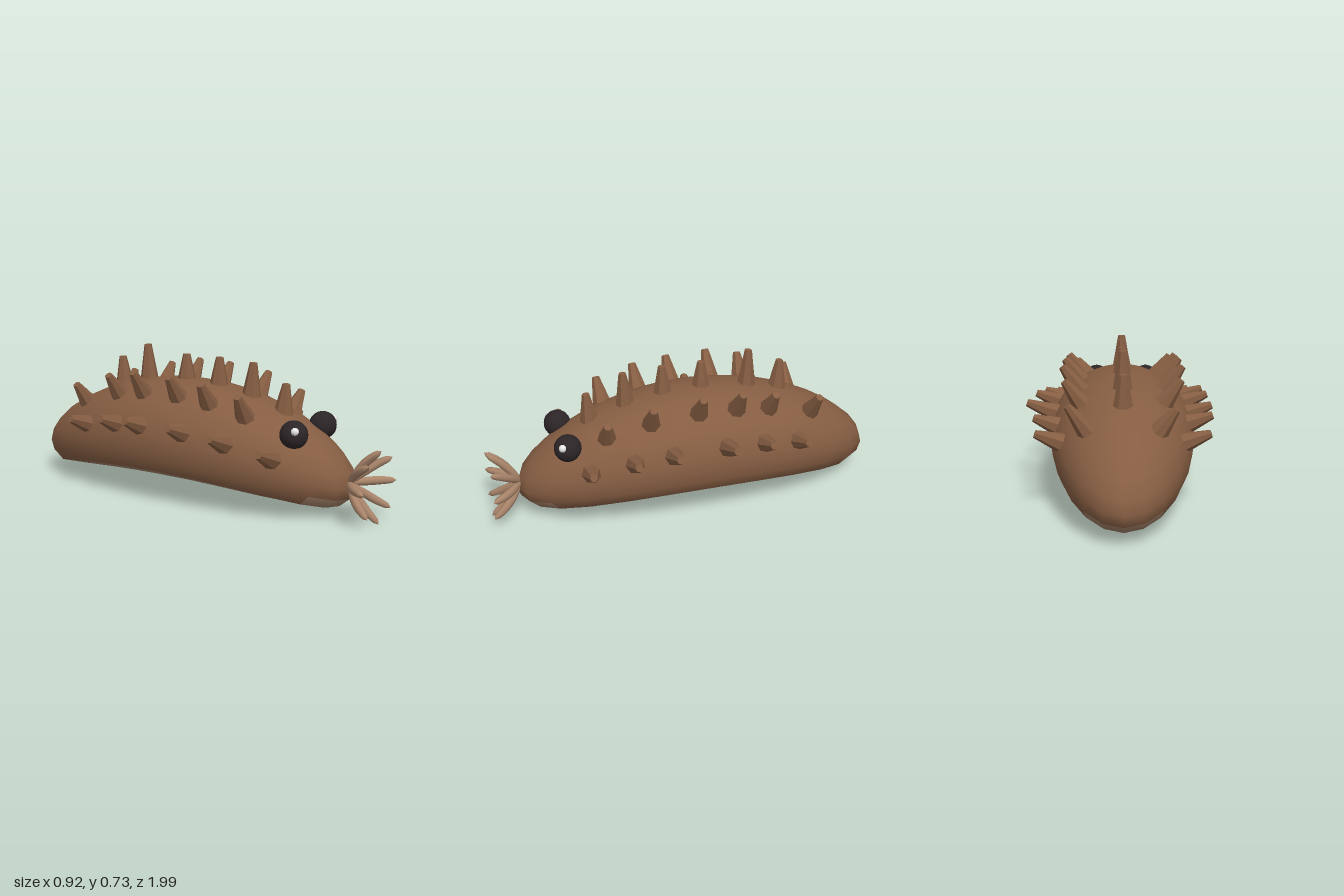
import * as THREE from 'three';
import { mergeVertices } from 'three/addons/utils/BufferGeometryUtils.js';

const mat = (name, color) => {
  const m = new THREE.MeshStandardMaterial({ color });
  m.name = name;
  return m;
};

// Body ellipsoid: centre, radii, and how far the ends droop
const CX = -0.015, CY = 0.29, CZ = -0.07;
const RX = 0.355, RY = 0.3, RZ = 0.93, DROOP = 0.13;
const centreY = (f) => CY - DROOP * f * f;

function bodyGeometry() {
  let g = new THREE.SphereGeometry(1, 24, 16);
  g.deleteAttribute('uv');
  g.deleteAttribute('normal');
  g = mergeVertices(g, 1e-4);
  const p = g.attributes.position;

  // Sort the faces into skin and sole
  const skin = [], sole = [], idx = g.index.array, c = new THREE.Vector3(), v = new THREE.Vector3();
  for (let i = 0; i < idx.length; i += 3) {
    const tri = [idx[i], idx[i + 1], idx[i + 2]];
    c.set(0, 0, 0);
    tri.forEach((k) => c.add(v.fromBufferAttribute(p, k)));
    c.divideScalar(3);
    const atEnd = Math.atan2(Math.abs(c.x), Math.abs(c.z)) < Math.PI / 6;
    const limit = -Math.sin(Math.PI / (atEnd ? 16 : 8));
    (c.y < limit ? sole : skin).push(...tri);
  }
  g.setIndex([...skin, ...sole]);
  g.addGroup(0, skin.length, 0);
  g.addGroup(skin.length, sole.length, 1);

  // Stretch, flatten the underside and droop both ends
  for (let i = 0; i < p.count; i++) {
    v.fromBufferAttribute(p, i);
    let y = v.y * RY;
    if (y < -0.115) y = -0.115 + (y + 0.115) * 0.36;
    p.setXYZ(i, CX + v.x * RX, centreY(v.z) + y, CZ + v.z * RZ);
  }
  g.computeVertexNormals();
  return g;
}

// Blunt faceted spike standing on the body at the given angle round the section
function makeSpike(name, material, degrees, z, length) {
  const a = THREE.MathUtils.degToRad(degrees);
  const f = (z - CZ) / RZ, s = Math.sqrt(1 - f * f);
  const sunk = 0.02, h = length + sunk;
  const g = new THREE.CylinderGeometry(0.019, 0.05, h, 7).toNonIndexed();
  g.translate(0, h / 2 - sunk, 0);
  g.computeVertexNormals();
  const m = new THREE.Mesh(g, material);
  m.name = name;
  m.position.set(CX + RX * s * Math.cos(a), centreY(f) + RY * s * Math.sin(a), z - 0.01 * f);
  const dir = new THREE.Vector3(Math.cos(a), Math.sin(a), 0.16 * f).normalize();
  m.quaternion.setFromUnitVectors(new THREE.Vector3(0, 1, 0), dir);
  return m;
}

// Curved feeler, swelling in the middle and rounded at the tip
function tentacleGeometry() {
  const path = new THREE.CatmullRomCurve3([
    new THREE.Vector3(0, 0, 0.84), new THREE.Vector3(0.055, 0, 0.875),
    new THREE.Vector3(0.115, 0, 0.925), new THREE.Vector3(0.172, 0, 0.993),
  ]);
  const rings = 12, sides = 8;
  const g = new THREE.TubeGeometry(path, rings, 1, sides);
  const p = g.attributes.position, v = new THREE.Vector3();
  const radii = [0.012, 0.014, 0.016, 0.018, 0.02, 0.021, 0.021, 0.021, 0.02, 0.019, 0.017, 0.014, 0.001];
  for (let i = 0; i <= rings; i++) {
    const c = path.getPointAt(i / rings);
    for (let j = 0; j <= sides; j++) {
      const k = i * (sides + 1) + j;
      v.fromBufferAttribute(p, k).sub(c).multiplyScalar(radii[i]).add(c);
      p.setXYZ(k, v.x, v.y, v.z);
    }
  }
  g.computeVertexNormals();
  return g;
}

export function createModel() {
  const skin = mat('brown skin', 0x855d42);
  const sole = mat('pale sole', 0x9c7c64);
  const feeler = mat('tan tentacle', 0xa9846a);
  const black = mat('black eye', 0x2c2527);
  const white = mat('white glint', 0xf2f2f2);

  const model = new THREE.Group();
  model.name = 'seaCreature';
  const body = new THREE.Mesh(bodyGeometry(), [skin, sole]);
  body.name = 'body';
  model.add(body);

  // Five rows of spikes: angle round the body, then [z, length] pairs
  const rows = {
    topSpike: [90, [[0.485, 0.13], [0.3, 0.155], [0.105, 0.13], [-0.095, 0.12], [-0.34, 0.175], [-0.51, 0.14]]],
    upperLeftSpike: [54, [[0.435, 0.11], [0.22, 0.13], [-0.02, 0.13], [-0.215, 0.14], [-0.39, 0.13], [-0.63, 0.14]]],
    upperRightSpike: [126, [[0.38, 0.13], [0.185, 0.13], [0.005, 0.13], [-0.21, 0.14], [-0.38, 0.13], [-0.63, 0.12]]],
    lowerLeftSpike: [20, [[0.535, 0.11], [0.33, 0.115], [0.14, 0.125], [-0.13, 0.145], [-0.33, 0.11], [-0.52, 0.12]]],
    lowerRightSpike: [160, [[0.565, 0.14], [0.34, 0.14], [0.115, 0.12], [-0.14, 0.115], [-0.3, 0.115], [-0.52, 0.12]]],
  };
  const spikes = new THREE.Group();
  spikes.name = 'spikes';
  for (const [name, [angle, list]] of Object.entries(rows)) {
    list.forEach(([z, len], i) => spikes.add(makeSpike(name + (i + 1), skin, angle, z, len)));
  }
  model.add(spikes);

  // Eyes with glints
  for (const side of [-1, 1]) {
    const label = side > 0 ? 'left' : 'right';
    const eye = new THREE.Mesh(new THREE.SphereGeometry(0.067, 20, 14), black);
    eye.name = label + 'Eye';
    eye.position.set(CX + side * 0.137, 0.408, 0.617);
    const glint = new THREE.Mesh(new THREE.SphereGeometry(0.019, 12, 8), white);
    glint.name = label + 'EyeGlint';
    glint.position.set(side * 0.046, 0.026, 0.032);
    eye.add(glint);
    model.add(eye);
  }

  // Ring of tentacles round the mouth
  const tentacles = new THREE.Group();
  tentacles.name = 'tentacles';
  tentacles.position.set(CX, 0.185, 0);
  const tg = tentacleGeometry();
  for (let i = 0; i < 8; i++) {
    const t = new THREE.Mesh(tg, feeler);
    t.name = 'tentacle' + (i + 1);
    t.rotation.z = (i * Math.PI) / 4;
    tentacles.add(t);
  }
  model.add(tentacles);

  return model;
}
